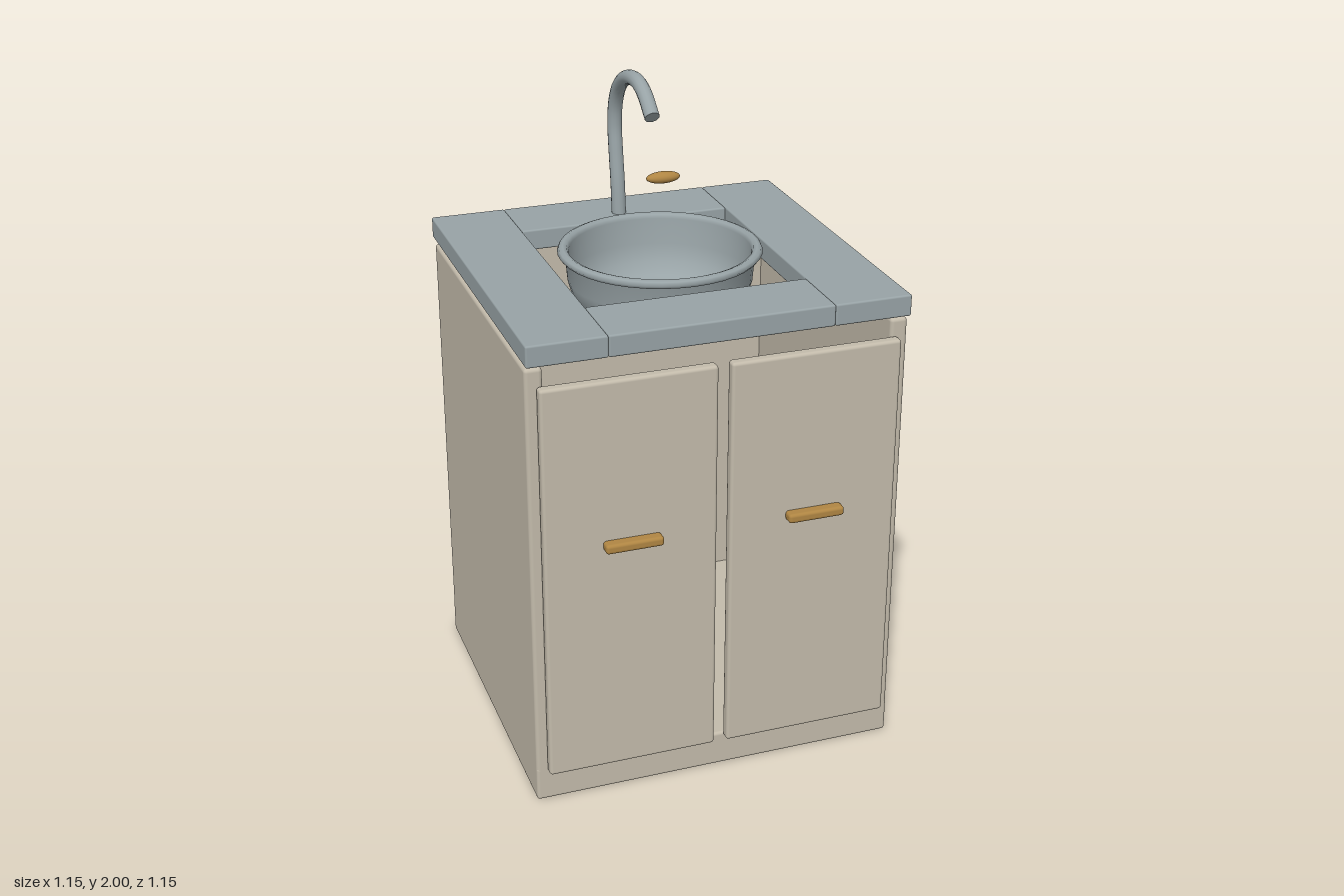
import * as THREE from 'three';
import { RoundedBoxGeometry } from 'three/addons/geometries/RoundedBoxGeometry.js';

export function createModel() {
  const model = new THREE.Group();
  model.name = 'washstand';
  const material = (name, color) => {
    const m = new THREE.MeshStandardMaterial({ color });
    m.name = name;
    return m;
  };
  const cream = material('cream cabinet', 0xc3bbab);
  const slate = material('slate grey', 0x98a3a6);
  const brass = material('brass', 0xb08643);

  const add = (name, geometry, mat, parent = model) => {
    const mesh = new THREE.Mesh(geometry, mat);
    mesh.name = name;
    parent.add(mesh);
    return mesh;
  };
  // Rounded panel given by its lower and upper bounds on each axis
  const panel = (name, [x0, x1], [y0, y1], [z0, z1], mat, radius, parent) => {
    const g = new RoundedBoxGeometry(x1 - x0, y1 - y0, z1 - z0, 2, radius);
    g.translate((x0 + x1) / 2, (y0 + y1) / 2, (z0 + z1) / 2);
    return add(name, g, mat, parent);
  };

  // Cabinet carcass, open at the front and top
  const cabinet = new THREE.Group();
  cabinet.name = 'cabinet';
  model.add(cabinet);
  panel('cabinetFloor', [-0.575, 0.575], [0, 0.113], [-0.545, 0.505], cream, 0.01, cabinet);
  panel('cabinetBack', [-0.57, 0.57], [0.005, 1.42], [-0.545, -0.495], cream, 0.01, cabinet);

  // Mirrored sides, doors, handles and counter ends
  for (const s of [1, -1]) {
    const side = s > 0 ? 'left' : 'right';
    const span = (a, b) => (s > 0 ? [a, b] : [-b, -a]);
    panel(side + 'CabinetSide', span(0.522, 0.575), [0, 1.423], [-0.545, 0.505], cream, 0.012, cabinet);
    panel(side + 'Door', span(0.02, 0.543), [0.105, 1.37], [0.503, 0.54], cream, 0.01);
    panel(side + 'DoorHandle', span(0.193, 0.368), [0.845, 0.875], [0.535, 0.575], brass, 0.01);
    panel(side + 'CounterEnd', span(0.338, 0.575), [1.434, 1.5], [-0.575, 0.525], slate, 0.006);
  }
  panel('counterFront', [-0.338, 0.338], [1.434, 1.5], [0.304, 0.525], slate, 0.006);
  panel('counterBack', [-0.338, 0.338], [1.434, 1.5], [-0.575, -0.354], slate, 0.006);

  // Basin: outer wall, rolled rim, inner wall and open drain
  const profile = [
    [0.016, 1.285], [0.09, 1.29], [0.17, 1.306], [0.23, 1.336], [0.264, 1.372],
    [0.281, 1.43], [0.287, 1.503], [0.302, 1.506], [0.31, 1.516], [0.305, 1.527],
    [0.293, 1.532], [0.281, 1.527], [0.276, 1.515], [0.271, 1.435], [0.254, 1.38],
    [0.222, 1.346], [0.165, 1.317], [0.09, 1.301], [0.016, 1.293], [0.016, 1.285],
  ].map(([r, y]) => new THREE.Vector2(r, y));
  add('basin', new THREE.LatheGeometry(profile, 40), slate).position.z = -0.025;

  // Swan-neck tap with capped ends
  const path = new THREE.CatmullRomCurve3([
    [1.49, -0.424], [1.6, -0.434], [1.7, -0.45], [1.78, -0.459], [1.85, -0.449],
    [1.91, -0.415], [1.955, -0.355], [1.977, -0.28], [1.976, -0.21],
    [1.955, -0.158], [1.905, -0.094],
  ].map(([y, z]) => new THREE.Vector3(0, y, z)));
  add('tapSpout', new THREE.TubeGeometry(path, 40, 0.023, 14), slate);
  const tip = add('tapMouth', new THREE.CircleGeometry(0.023, 14), slate);
  tip.position.copy(path.getPoint(1));
  tip.lookAt(tip.position.clone().add(path.getTangent(1)));

  // Flattened tap knob beside the spout
  const knob = add('tapKnob', new THREE.SphereGeometry(1, 24, 14), brass);
  knob.scale.set(0.057, 0.019, 0.024);
  knob.position.set(0.15, 1.6, -0.426);

  return model;
}
